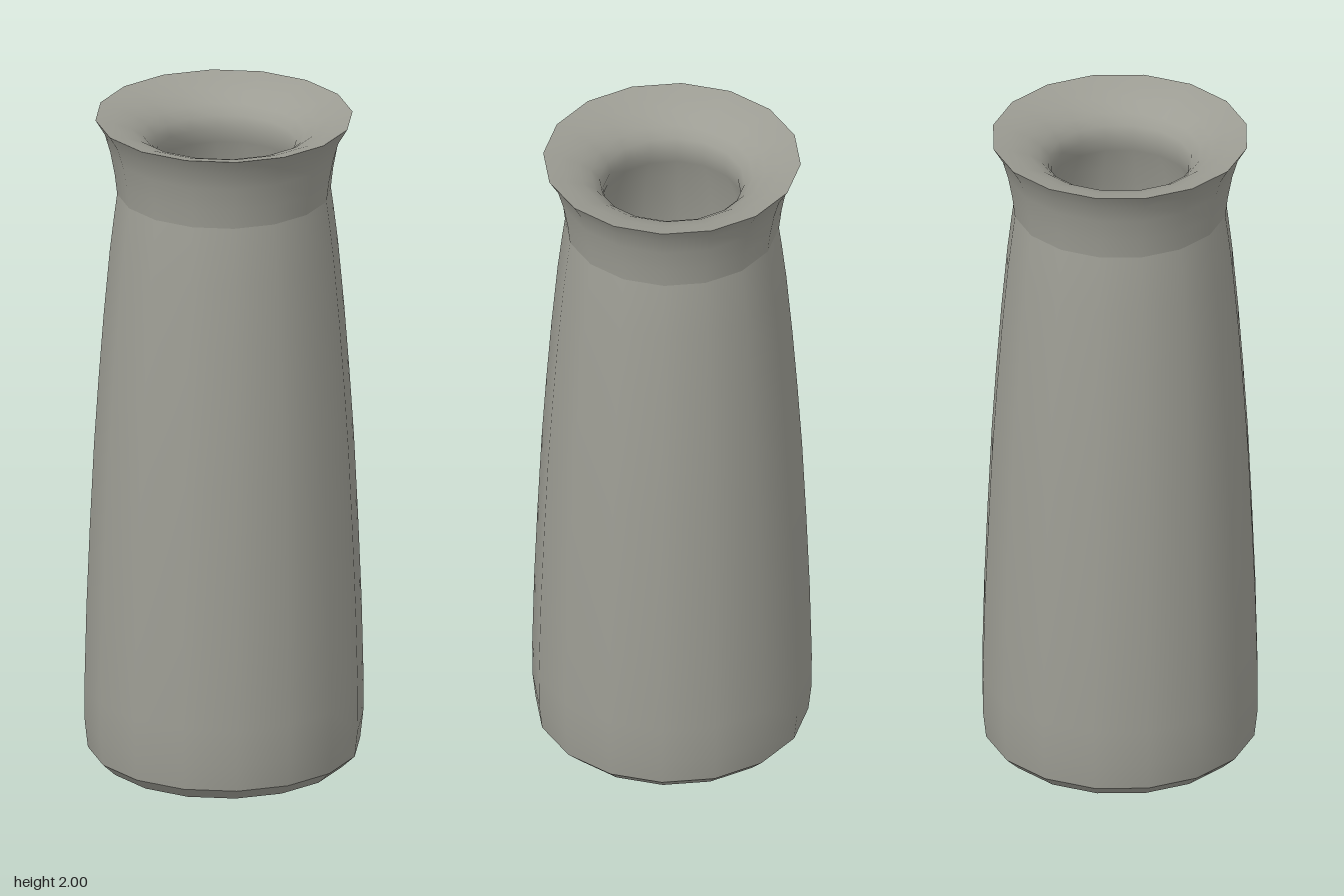
import * as THREE from 'three';

const SIDES = 16;

export function createModel() {
  const group = new THREE.Group();
  group.name = 'vase';
  const stone = new THREE.MeshStandardMaterial({ color: 0x9d9d94 });
  stone.name = 'warm grey ceramic';

  // Each section is turned separately so that the creases between them stay sharp.
  const turn = (name, points) => {
    const profile = points.map(([r, y]) => new THREE.Vector2(r, y));
    const mesh = new THREE.Mesh(new THREE.LatheGeometry(profile, SIDES), stone);
    mesh.name = name;
    group.add(mesh);
  };

  // Outside, from the underside up to the rim
  turn('underside', [[0, 0], [0.2, 0.004], [0.355, 0.022]]);
  turn('baseBevel', [[0.355, 0.022], [0.395, 0.06]]);
  turn('body', [
    [0.395, 0.06], [0.404, 0.14], [0.405, 0.25], [0.399, 0.5], [0.389, 0.75], [0.377, 1.0],
    [0.364, 1.2], [0.349, 1.4], [0.331, 1.6], [0.318, 1.71], [0.31, 1.77],
  ]);
  turn('flaredNeck', [[0.31, 1.77], [0.317, 1.83], [0.33, 1.9], [0.346, 1.955], [0.373, 2]]);

  // Inside, from the rim over the rounded lip and down to the floor
  turn('lipAndInterior', [
    [0.373, 2], [0.32, 1.988], [0.27, 1.97], [0.235, 1.947], [0.21, 1.92], [0.2, 1.885],
    [0.208, 1.84], [0.235, 1.77], [0.27, 1.6], [0.3, 1.35], [0.325, 1.0], [0.345, 0.5],
    [0.345, 0.25], [0.32, 0.15], [0.2, 0.1], [0, 0.08],
  ]);

  return group;
}
